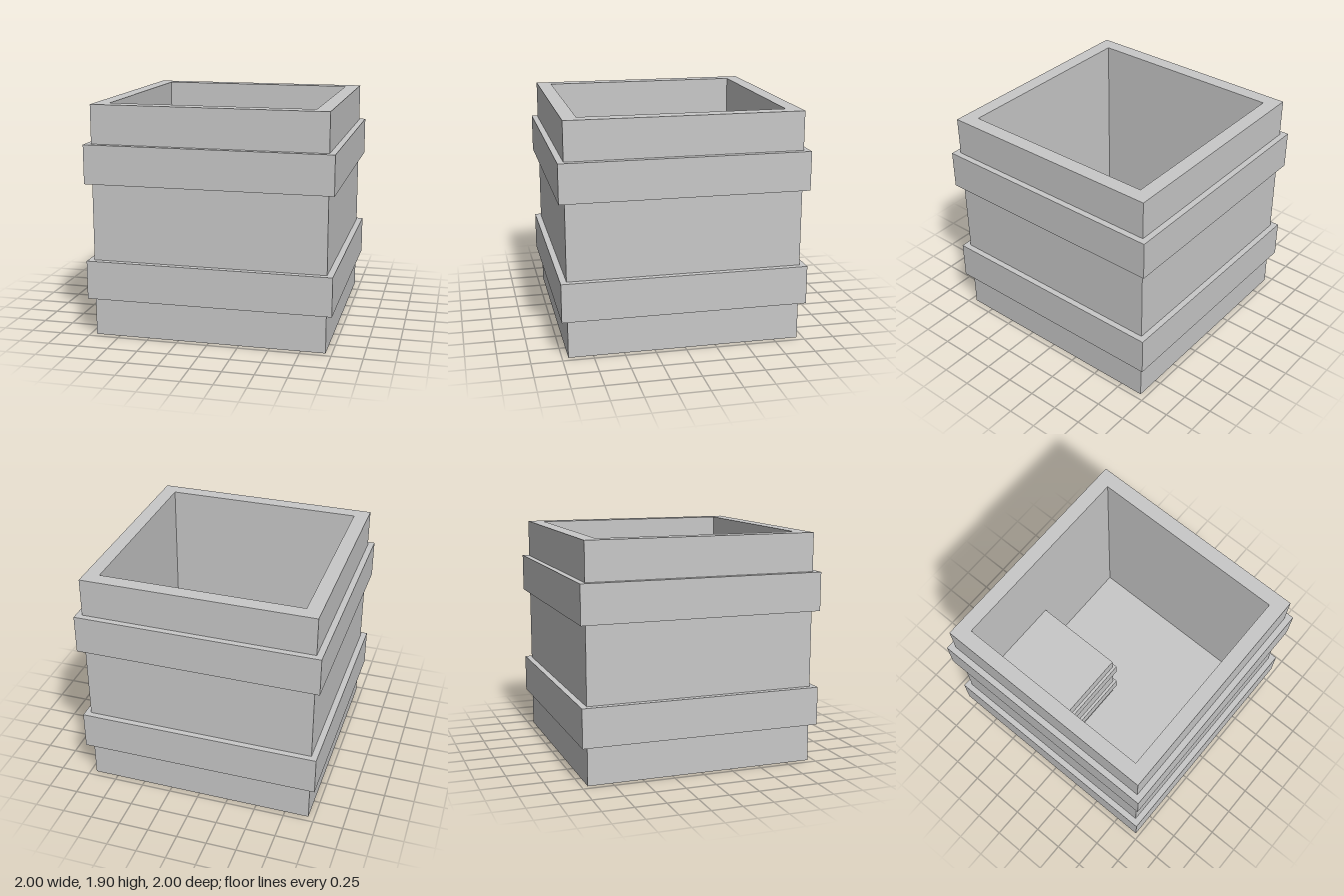
import * as THREE from 'three';

const grey = new THREE.MeshStandardMaterial({ color: 0xc8c8c8 });
grey.name = 'plain grey';

function square(half, PathType = THREE.Shape) {
  const p = new PathType();
  p.moveTo(-half, -half);
  p.lineTo(half, -half);
  p.lineTo(half, half);
  p.lineTo(-half, half);
  p.closePath();
  return p;
}

// Square ring standing between two heights
function ring(name, outer, inner, bottom, top) {
  const shape = square(outer);
  shape.holes.push(square(inner, THREE.Path));
  const geo = new THREE.ExtrudeGeometry(shape, { depth: top - bottom, bevelEnabled: false });
  geo.rotateX(-Math.PI / 2);
  geo.translate(0, bottom, 0);
  const mesh = new THREE.Mesh(geo, grey);
  mesh.name = name;
  return mesh;
}

function block(name, width, height, bottom) {
  const mesh = new THREE.Mesh(new THREE.BoxGeometry(width, height, width), grey);
  mesh.name = name;
  mesh.position.y = bottom + height / 2;
  return mesh;
}

export function createModel() {
  const model = new THREE.Group();
  model.name = 'openCrate';
  const body = 0.95, inside = 0.83, height = 1.9, floor = 0.12;

  // Open body: walls above a solid floor
  model.add(ring('walls', body, inside, floor, height));
  model.add(block('floor', body * 2, floor, 0));

  // Two raised bands around the outside
  model.add(ring('lowerBand', 1, body, 0.317, 0.634));
  model.add(ring('upperBand', 1, body, 1.268, 1.585));

  // Small banded block in the back right corner of the interior
  const small = new THREE.Group();
  small.name = 'innerBlock';
  small.add(block('innerBody', 0.78, 0.78, 0));
  small.add(ring('innerLowerBand', 0.415, 0.39, 0.13, 0.26));
  small.add(ring('innerUpperBand', 0.415, 0.39, 0.52, 0.65));
  small.position.set(-0.443, floor, -0.443);
  model.add(small);

  return model;
}
